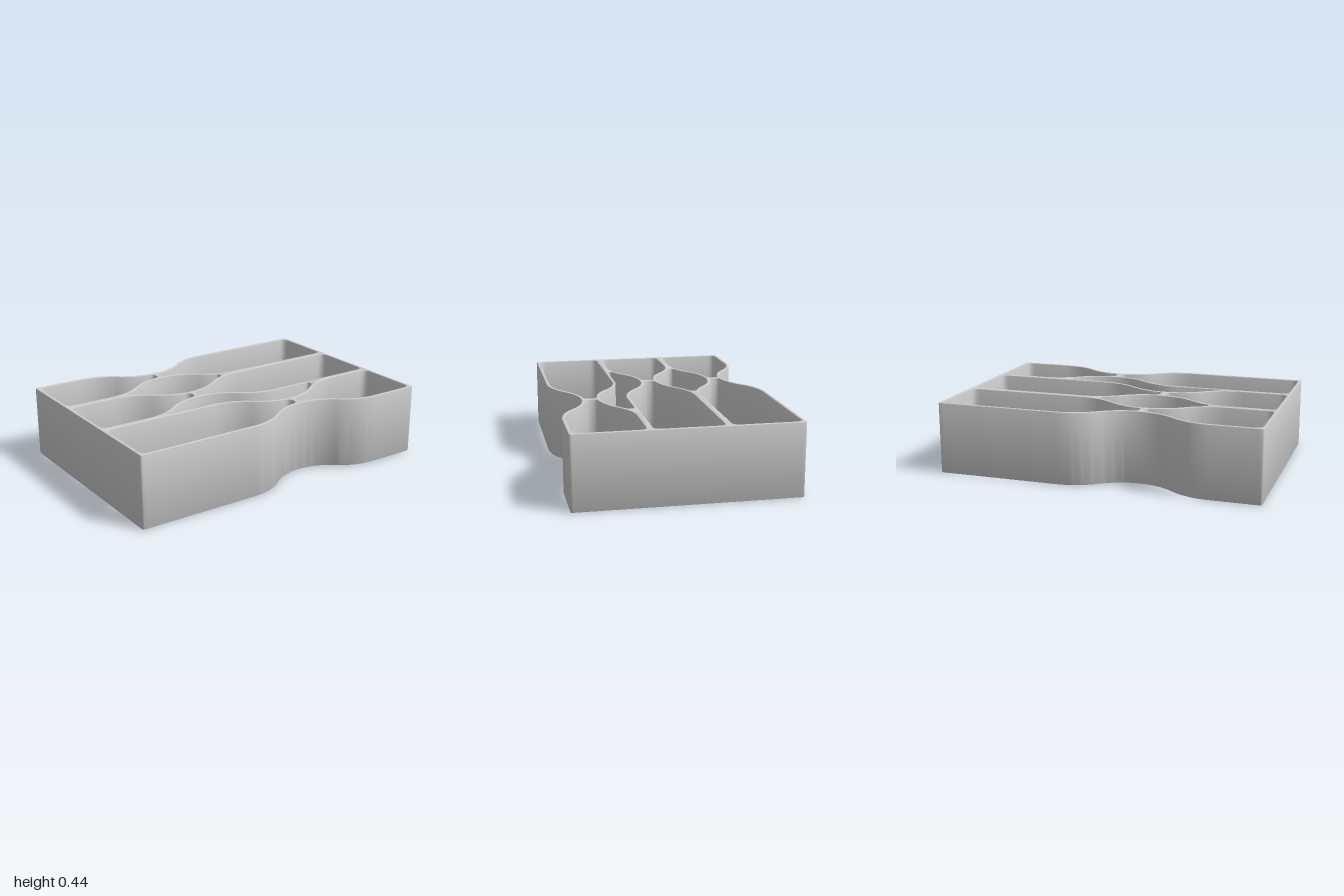
import * as THREE from 'three';
import { mergeVertices, toCreasedNormals } from 'three/addons/utils/BufferGeometryUtils.js';

const HEIGHT = 0.443;
const HALF = 0.01;      // half the wall thickness
const REACH = 0.46;     // half the length of a wave
const RISE = 0.166;     // depth of a wave
const R = ((REACH / 2) ** 2 + (RISE / 2) ** 2) / RISE; // radius of the wave's arcs
const BEVEL = 0.006;

// Wall centrelines, back to front: resting z, wave centre x, wave direction
const walls = [
  { z: -0.655, c: -0.225, s: 1 },
  { z: -0.235, c: -0.225, s: -1 },
  { z: -0.215, c: -0.225, s: 1 },
  { z: 0.21, c: -0.225, s: -1 },
  { z: 0.227, c: 0.22, s: 1 },
  { z: 0.655, c: 0.22, s: -1 },
];

// z of a wall face lying a distance o from the centreline
function faceZ({ z, c, s }, o, x) {
  const d = Math.abs(x - c);
  const crest = R + s * o, foot = R - s * o;
  if (d >= REACH) return z + o;
  if (d <= (REACH / 2) * crest / R) return z + s * (RISE - R) + s * Math.sqrt(crest ** 2 - d ** 2);
  return z + s * R - s * Math.sqrt(foot ** 2 - (REACH - d) ** 2);
}

// Closed outline between two wall faces from x0 to x1, with rounded corners
function outline(path, back, front, o, x0, x1, radius) {
  const zb = (x) => faceZ(back, o, x);
  const zf = (x) => faceZ(front, -o, x);
  const rl = Math.min(radius, 0.47 * (zf(x0) - zb(x0)));
  const rr = Math.min(radius, 0.47 * (zf(x1) - zb(x1)));
  const n = Math.ceil((x1 - x0) / 0.018);
  const a = x0 + rl, b = x1 - rr;
  path.moveTo(a, zb(a));
  for (let i = 1; i <= n; i++) {
    const x = a + (b - a) * i / n;
    path.lineTo(x, zb(x));
  }
  path.quadraticCurveTo(x1, zb(x1), x1, zb(x1) + rr);
  path.lineTo(x1, zf(x1) - rr);
  path.quadraticCurveTo(x1, zf(x1), b, zf(b));
  for (let i = 1; i <= n; i++) {
    const x = b + (a - b) * i / n;
    path.lineTo(x, zf(x));
  }
  path.quadraticCurveTo(x0, zf(x0), x0, zf(x0) - rl);
  path.lineTo(x0, zb(x0) + rl);
  path.quadraticCurveTo(x0, zb(x0), a, zb(a));
  return path;
}

export function createModel() {
  const group = new THREE.Group();
  group.name = 'drawerOrganizer';

  // Outer frame, waved at the back and front
  const shape = outline(new THREE.Shape(), walls[0], walls[5], -HALF, -0.998, 0.998, 0.015);

  // Open compartments: index of the wall behind, left end, right end
  const cells = [
    [0, -0.978, -0.24], [0, -0.21, 0.978],
    [1, -0.572, 0.118],
    [2, -0.978, -0.24], [2, -0.21, 0.978],
    [3, -0.55, 0.5],
    [4, -0.978, 0.205], [4, 0.235, 0.978],
  ];
  for (const [i, x0, x1] of cells) {
    shape.holes.push(outline(new THREE.Path(), walls[i], walls[i + 1], HALF, x0, x1, 0.045));
  }

  // Extrude with softened rims, then lay flat with the shape's y along z
  let geometry = new THREE.ExtrudeGeometry(shape, {
    depth: HEIGHT - 2 * BEVEL,
    curveSegments: 6,
    bevelThickness: BEVEL,
    bevelSize: BEVEL,
    bevelOffset: -BEVEL,
    bevelSegments: 2,
  });
  geometry.rotateX(Math.PI / 2);
  geometry.translate(0, HEIGHT - BEVEL, 0);
  geometry.deleteAttribute('normal');
  geometry.deleteAttribute('uv');
  geometry = toCreasedNormals(mergeVertices(geometry, 1e-5), 0.6);

  const mesh = new THREE.Mesh(geometry, new THREE.MeshStandardMaterial({ color: 0xcccccc }));
  mesh.name = 'compartmentWalls';
  group.add(mesh);
  return group;
}
